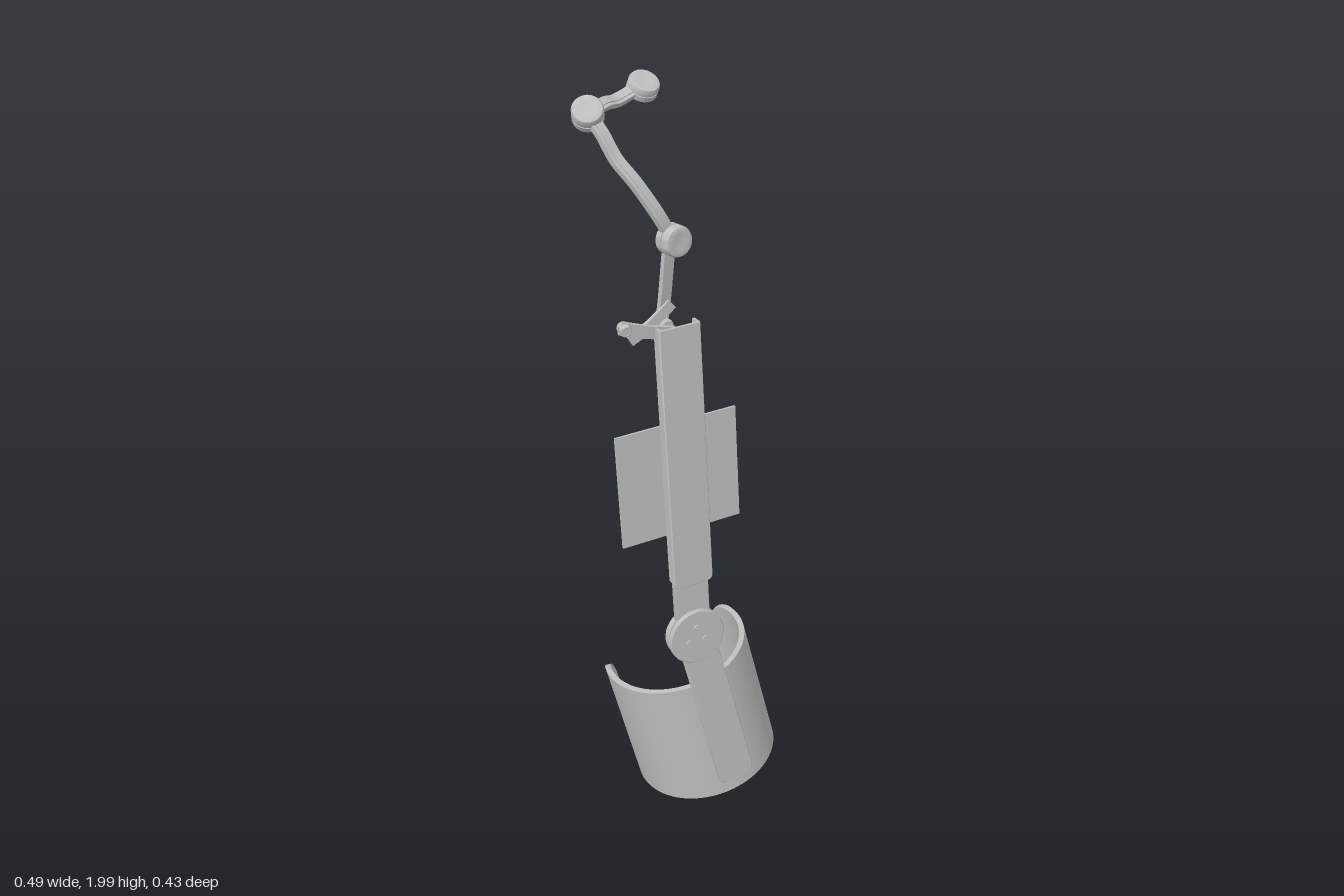
import * as THREE from 'three';
import { toCreasedNormals } from 'three/addons/utils/BufferGeometryUtils.js';

const V = (x, y, z) => new THREE.Vector3(x, y, z);

export function createModel() {
  const model = new THREE.Group();
  model.name = 'limbSupportBrace';
  const grey = new THREE.MeshStandardMaterial({ color: 0xbebebe });
  grey.name = 'plain grey';

  function add(parent, name, geo, x = 0, y = 0, z = 0) {
    const mesh = new THREE.Mesh(geo, grey);
    mesh.name = name;
    mesh.position.set(x, y, z);
    parent.add(mesh);
    return mesh;
  }

  // Flat bar between y0 and y1 with separate corner radii at bottom and top
  function barGeo(w, y0, y1, rb, rt, depth) {
    const h = w / 2, s = new THREE.Shape();
    s.moveTo(-h + rb, y0);
    s.lineTo(h - rb, y0);
    s.absarc(h - rb, y0 + rb, rb, -Math.PI / 2, 0);
    s.lineTo(h, y1 - rt);
    s.absarc(h - rt, y1 - rt, rt, 0, Math.PI / 2);
    s.lineTo(-h + rt, y1);
    s.absarc(-h + rt, y1 - rt, rt, Math.PI / 2, Math.PI);
    s.lineTo(-h, y0 + rb);
    s.absarc(-h + rb, y0 + rb, rb, Math.PI, Math.PI * 1.5);
    const b = 0.002;
    const g = new THREE.ExtrudeGeometry(s, {
      depth: depth - 2 * b, bevelEnabled: true, bevelThickness: b, bevelSize: b,
      bevelOffset: -b, bevelSegments: 1, curveSegments: 10,
    });
    g.translate(0, 0, b);
    return toCreasedNormals(g, 0.5);
  }

  // Turned disc along z with chamfered edges, starting at z = 0
  function discGeo(r, depth, c = 0.003) {
    const p = [[0, 0], [r - c, 0], [r, c], [r, depth - c], [r - c, depth], [0, depth]];
    const g = new THREE.LatheGeometry(p.map(([a, b]) => new THREE.Vector2(a, b)), 40);
    g.rotateX(Math.PI / 2);
    return toCreasedNormals(g, 0.5);
  }

  function screw(parent, x, y, z) {
    const head = new THREE.CylinderGeometry(0.011, 0.011, 0.006, 16).rotateX(Math.PI / 2);
    add(parent, 'screwHead', head, x, y, z);
    const socket = new THREE.CylinderGeometry(0.006, 0.006, 0.008, 6).rotateX(Math.PI / 2);
    add(parent, 'screwSocket', socket, x, y, z);
  }

  // Brace frame: leans back and is turned slightly to the right
  const frame = new THREE.Group();
  frame.name = 'braceFrame';
  frame.position.set(-0.082, 0.62, 0.14);
  frame.rotation.set(THREE.MathUtils.degToRad(-6), THREE.MathUtils.degToRad(-7.4), 0, 'YXZ');
  model.add(frame);

  // Upper channel with its two side flanges and the bar sliding in it
  add(frame, 'channelFace', barGeo(0.108, 0.155, 0.86, 0.015, 0.001, 0.008), 0, 0, 0.009);
  for (const s of [-1, 1]) {
    add(frame, 'channelFlange', new THREE.BoxGeometry(0.007, 0.69, 0.026), s * 0.0505, 0.515, 0);
  }
  add(frame, 'slidingBar', barGeo(0.098, 0, 0.6, 0.001, 0.012, 0.012), 0, 0, -0.012);

  // Back plate with two columns of screws
  add(frame, 'backPlate', new THREE.BoxGeometry(0.325, 0.302, 0.006), -0.01, 0.452, -0.016);
  for (const y of [-0.1, 0, 0.1]) for (const x of [-0.026, 0.026]) screw(frame, x, 0.452 + y, -0.021);

  // Hinge
  add(frame, 'hingeBackDisc', discGeo(0.074, 0.018), 0, 0, -0.02);
  add(frame, 'hingeFrontDisc', discGeo(0.077, 0.014), 0, 0, 0.007);
  for (let i = 0; i < 3; i++) {
    const a = Math.PI / 2 + i * Math.PI * 2 / 3;
    for (const z of [-0.021, 0.022]) screw(frame, 0.026 * Math.cos(a), 0.026 * Math.sin(a), z);
  }

  // Lower bar and cuff swing to the left below the hinge
  const lower = new THREE.Group();
  lower.name = 'lowerBrace';
  lower.rotation.z = THREE.MathUtils.degToRad(11.7);
  frame.add(lower);
  add(lower, 'lowerBar', barGeo(0.102, -0.515, 0.04, 0.022, 0.04, 0.012), 0, 0, -0.003);

  // Cuff: a slab bent round an arc, with rounded free ends
  const R = 0.197, T = 0.015, H = 0.395, sweep = THREE.MathUtils.degToRad(125), corner = 0.095;
  const cuff = new THREE.BoxGeometry(2, H, T, 72, 8, 1);
  const p = cuff.attributes.position;
  for (let i = 0; i < p.count; i++) {
    const u = Math.sin(p.getX(i) * Math.PI / 2); // packs columns towards the ends
    const d = Math.min(corner, (1 - Math.abs(u)) * sweep * R);
    const half = H / 2 - corner + Math.sqrt(Math.max(0, corner ** 2 - (corner - d) ** 2));
    const r = R - T / 2 + p.getZ(i);
    p.setXYZ(i, r * Math.sin(u * sweep), p.getY(i) / (H / 2) * half, r * Math.cos(u * sweep));
  }
  cuff.computeVertexNormals();
  add(lower, 'cuff', cuff, 0, -0.363, -0.003 - R);
  for (const y of [-0.26, -0.35, -0.44]) for (const x of [-0.028, 0.028]) screw(lower, x, y, -0.022);

  // Flat link of rectangular section swept along a smooth path
  function link(name, pts, facing, w, t) {
    const curve = new THREE.CatmullRomCurve3(pts), n = 20, pos = [], idx = [];
    for (let i = 0; i <= n; i++) {
      const c = curve.getPointAt(i / n), tan = curve.getTangentAt(i / n);
      const side = tan.clone().cross(facing).normalize();
      const up = side.clone().cross(tan).normalize();
      for (const [a, b] of [[-1, -1], [1, -1], [1, 1], [-1, 1]]) {
        pos.push(...c.clone().addScaledVector(side, a * w / 2).addScaledVector(up, b * t / 2).toArray());
      }
      for (let k = 0; k < 4 && i < n; k++) {
        const a = i * 4 + k, b = i * 4 + (k + 1) % 4;
        idx.push(a, a + 4, b, b, a + 4, b + 4);
      }
    }
    const e = n * 4;
    idx.push(0, 1, 2, 0, 2, 3, e, e + 2, e + 1, e, e + 3, e + 2);
    const g = new THREE.BufferGeometry();
    g.setAttribute('position', new THREE.Float32BufferAttribute(pos, 3));
    g.setIndex(idx);
    g.computeVertexNormals();
    const mesh = add(model, name, toCreasedNormals(g, 0.6));
    mesh.material = grey;
    return mesh;
  }

  // Round joint with a groove round its waist and a domed cap
  function knob(name, at, axis, r, h) {
    const k = [[0, -0.5], [0.9, -0.5], [1, -0.42], [1, -0.06], [0.92, -0.06], [0.92, 0.02],
      [1, 0.02], [1, 0.32], [0.92, 0.45], [0.75, 0.5], [0.5, 0.46], [0, 0.46]];
    const g = new THREE.LatheGeometry(k.map(([a, b]) => new THREE.Vector2(a * r, b * h)), 32);
    const mesh = add(model, name, toCreasedNormals(g, 0.6), at.x, at.y, at.z);
    mesh.quaternion.setFromUnitVectors(V(0, 1, 0), axis.clone().normalize());
  }

  // Jointed arm above the channel
  knob('lowerArmJoint', V(-0.059, 1.677, 0.026), V(0.02, 0.12, 1), 0.037, 0.05);
  knob('middleArmJoint', V(-0.17, 1.947, -0.148), V(-0.35, 0.75, 0.55), 0.037, 0.046);
  knob('endArmJoint', V(-0.007, 1.969, -0.171), V(0.02, 0.87, 0.46), 0.037, 0.036);

  link('lowerArmLink', [V(-0.078, 1.43, -0.008), V(-0.07, 1.5, -0.003), V(-0.06, 1.67, 0.008)],
    V(0, 0.1, 1), 0.028, 0.014);
  const mid = [V(-0.066, 1.69, 0.015), V(-0.085, 1.73, 0.01), V(-0.123, 1.81, -0.03),
    V(-0.148, 1.86, -0.072), V(-0.16, 1.91, -0.106), V(-0.17, 1.945, -0.145)];
  const end = [V(-0.165, 1.952, -0.142), V(-0.12, 1.958, -0.152), V(-0.085, 1.952, -0.165), V(-0.015, 1.968, -0.172)];
  link('middleArmLink', mid, V(0.1, 0.5, 0.85), 0.03, 0.015);
  link('middleArmRib', mid, V(0.1, 0.5, 0.85), 0.013, 0.02);
  link('endArmLink', end, V(0, 0.87, 0.46), 0.03, 0.013);
  link('endArmRib', end, V(0, 0.87, 0.46), 0.014, 0.018);

  // Crossed clamp levers with pins at the foot of the arm
  link('clampLeverFront', [V(-0.205, 1.492, 0.018), V(-0.15, 1.472, 0.03), V(-0.075, 1.452, 0.045)],
    V(-0.2, 0, 1), 0.032, 0.01);
  link('clampLeverBack', [V(-0.165, 1.435, -0.006), V(-0.11, 1.466, 0.004), V(-0.055, 1.508, 0.008)],
    V(-0.2, 0, 1), 0.028, 0.01);
  knob('clampPin', V(-0.196, 1.488, 0.022), V(-0.2, 0, 1), 0.015, 0.03);
  knob('armPivot', V(-0.074, 1.455, 0.005), V(-0.1, 0.1, 1), 0.018, 0.036);

  return model;
}
